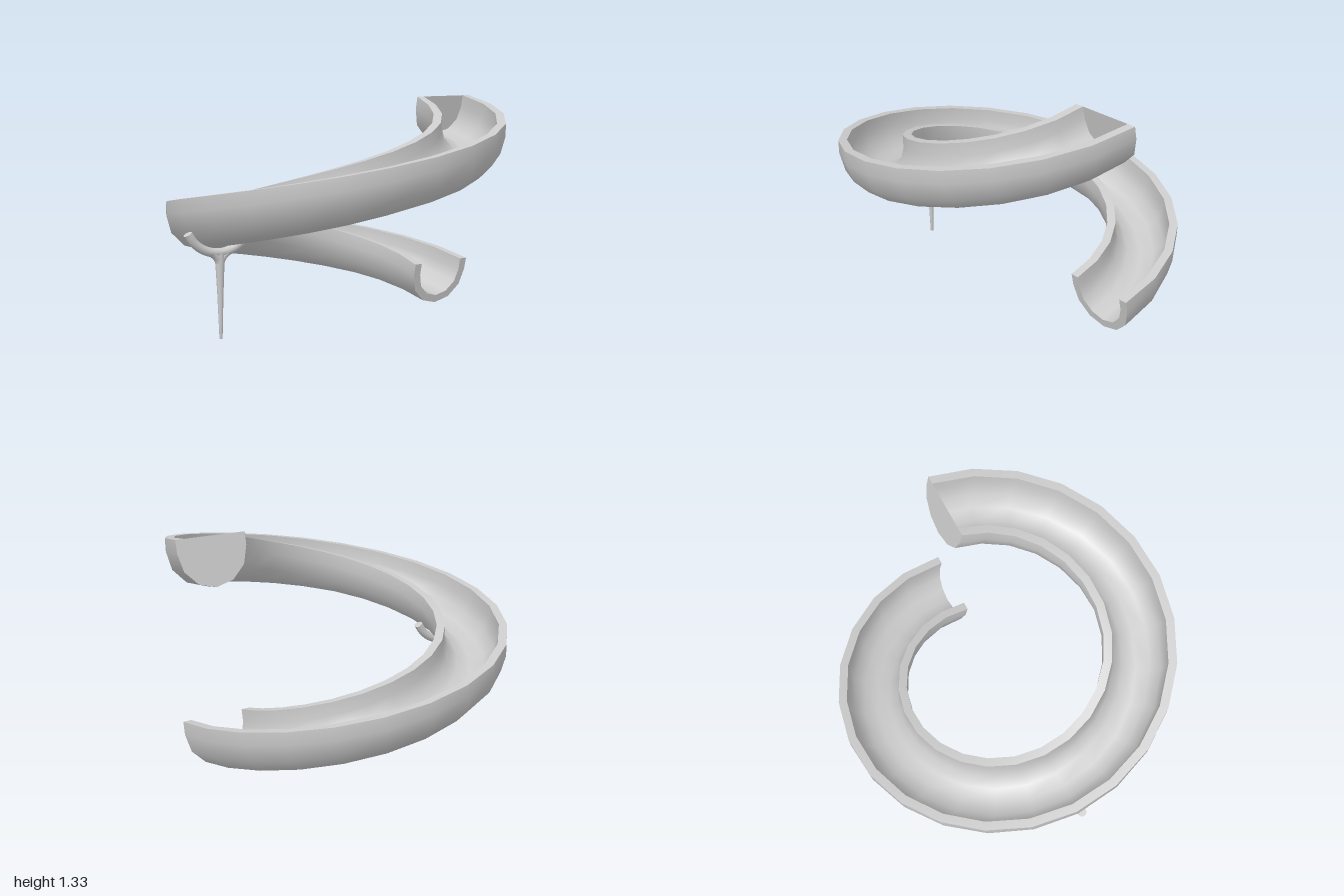
import * as THREE from 'three';
import { toCreasedNormals } from 'three/addons/utils/BufferGeometryUtils.js';

const R = 0.79, RISE = 1.05, STEPS = 24;
const slope = Math.atan(RISE / (2 * Math.PI * R));

// Half-pipe profile: straight lips above a semicircular bowl, as [across, up]
function profile(r) {
  const pts = [[-r, 0.285]];
  for (let i = 0; i <= 6; i++) {
    const a = Math.PI * (1 + i / 6);
    pts.push([r * Math.cos(a), 0.21 + r * Math.sin(a)]);
  }
  pts.push([r, 0.285]);
  return pts;
}

// Profile point at fraction t of the single turn, tilted square to the path
function place([u, v], t) {
  const a = t * Math.PI * 2, s = Math.sin(slope) * v;
  return [
    (R + u) * Math.cos(a) + s * Math.sin(a),
    0.005 + RISE * t + v * Math.cos(slope),
    -(R + u) * Math.sin(a) + s * Math.cos(a),
  ];
}

function buildGeometry(positions, index) {
  const g = new THREE.BufferGeometry();
  g.setAttribute('position', new THREE.Float32BufferAttribute(positions, 3));
  g.setIndex(index);
  return toCreasedNormals(g, 0.7);
}

function chuteGeometry() {
  const outer = profile(0.21), inner = profile(0.16);
  const loop = [...outer, ...inner.slice().reverse()];
  const n = loop.length, pos = [], idx = [];
  for (let i = 0; i <= STEPS; i++) {
    for (const p of loop) pos.push(...place(p, i / STEPS));
  }
  for (let i = 0; i < STEPS; i++) {
    for (let j = 0; j < n; j++) {
      const k = (j + 1) % n;
      const a = i * n + j, b = i * n + k, c = b + n, d = a + n;
      idx.push(a, d, c, a, c, b);
    }
  }
  // U-shaped wall ends
  const e = STEPS * n;
  for (let j = 0; j < outer.length - 1; j++) {
    const a = j, b = j + 1, c = n - 2 - j, d = n - 1 - j;
    idx.push(a, b, c, a, c, d);
    idx.push(e + a, e + c, e + b, e + a, e + d, e + c);
  }
  return buildGeometry(pos, idx);
}

// Flat panel closing the channel at the top
function panelGeometry() {
  const pts = profile(0.16), idx = [];
  for (let j = 1; j < pts.length - 1; j++) idx.push(0, j, j + 1);
  return buildGeometry(pts.flatMap((p) => place(p, 1)), idx);
}

export function createModel() {
  const model = new THREE.Group();
  model.name = 'spiralSlide';
  const mat = new THREE.MeshStandardMaterial({ color: 0xcccccc });
  const thin = new THREE.MeshStandardMaterial({ color: 0xcccccc, side: THREE.DoubleSide });
  const add = (parent, name, geometry, material = mat) => {
    const m = new THREE.Mesh(geometry, material);
    m.name = name;
    parent.add(m);
    return m;
  };

  add(model, 'chute', chuteGeometry());
  add(model, 'topEndPanel', panelGeometry(), thin);

  // Support: tapered post with a curved cradle under the half-turn point
  const support = new THREE.Group();
  support.name = 'support';
  support.position.x = -0.787;
  model.add(support);

  const post = [[0, 0.003], [0.009, 0.003], [0.012, 0.1], [0.018, 0.27], [0.024, 0.4], [0.027, 0.45], [0.027, 0.5]];
  add(support, 'post', new THREE.LatheGeometry(post.map(([x, y]) => new THREE.Vector2(x, y)), 12));

  const cr = 0.221, cy = 0.718, half = 1.11, tube = 0.026;
  const arcPoint = (a) => new THREE.Vector3(cr * Math.sin(a), cy - cr * Math.cos(a), 0);
  const arc = [];
  for (let i = 0; i <= 8; i++) arc.push(arcPoint(-half + (2 * half * i) / 8));
  add(support, 'cradle', new THREE.TubeGeometry(new THREE.CatmullRomCurve3(arc), 24, tube, 12));

  for (const s of [-1, 1]) {
    // Flat tip of the cradle arm
    const cap = add(support, 'cradleTip', new THREE.CircleGeometry(tube, 12), thin);
    cap.position.copy(arcPoint(s * half));
    cap.rotation.set(-Math.PI / 2, s * (Math.PI / 2 - half), 0, 'ZXY');
    cap.lookAt(cap.position.clone().add(new THREE.Vector3(s * Math.cos(half), Math.sin(half), 0)).add(support.position));

    // Fillet flowing from the post into the arm
    const path = new THREE.QuadraticBezierCurve3(
      new THREE.Vector3(0, 0.43, 0), new THREE.Vector3(s * 0.008, 0.492, 0), arcPoint(s * 0.42));
    add(support, 'branchFillet', new THREE.TubeGeometry(path, 8, 0.0245, 12));
  }
  return model;
}
